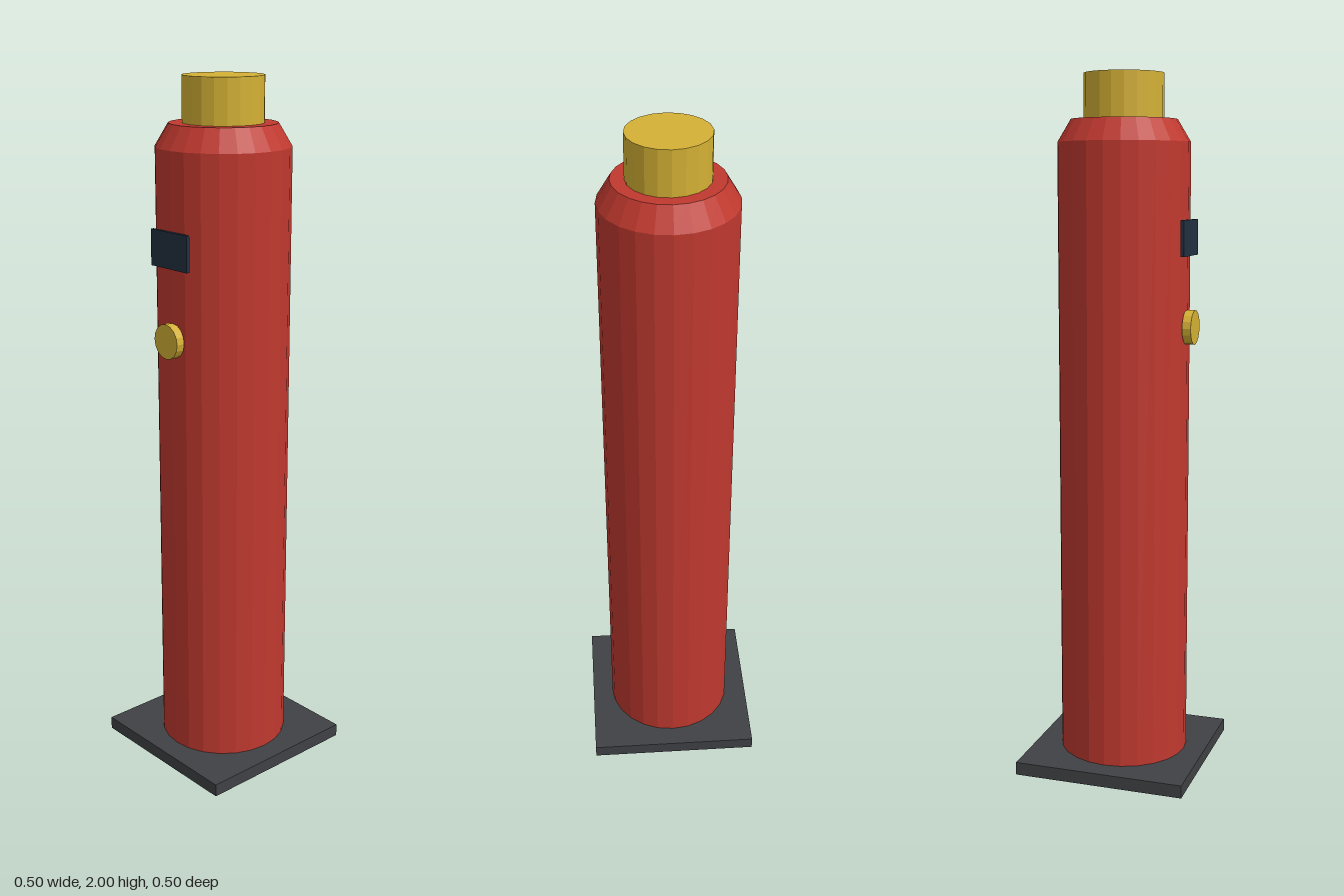
import * as THREE from 'three';

const material = (color) => new THREE.MeshStandardMaterial({ color, flatShading: true });

export function createModel() {
  const model = new THREE.Group();
  model.name = 'bollard';
  const red = material(0xc0392f);
  const gold = material(0xd4b035);
  const dark = material(0x3f4144);
  const navy = material(0x223040);

  const add = (name, geometry, mat, y, z = 0) => {
    const mesh = new THREE.Mesh(geometry, mat);
    mesh.name = name;
    mesh.position.set(0, y, z);
    model.add(mesh);
    return mesh;
  };
  // upright cylinder or cone section between two heights
  const column = (name, rTop, rBottom, y0, y1, sides, mat) =>
    add(name, new THREE.CylinderGeometry(rTop, rBottom, y1 - y0, sides), mat, (y0 + y1) / 2);

  // square ground plate
  add('basePlate', new THREE.BoxGeometry(0.5, 0.0375, 0.5), dark, 0.01875);

  // post, bevelled shoulder and top cap
  column('post', 0.1875, 0.1875, 0.0375, 1.8125, 24, red);
  column('shoulder', 0.15, 0.1875, 1.8125, 1.875, 24, red);
  column('topCap', 0.1125, 0.1125, 1.875, 2, 20, gold);

  // display panel and round button on the front
  add('displayPanel', new THREE.BoxGeometry(0.15, 0.1, 0.01), navy, 1.55, 0.1915);
  const button = add('button', new THREE.CylinderGeometry(0.049, 0.049, 0.025, 16), gold, 1.3, 0.198);
  button.rotation.x = Math.PI / 2;

  return model;
}
